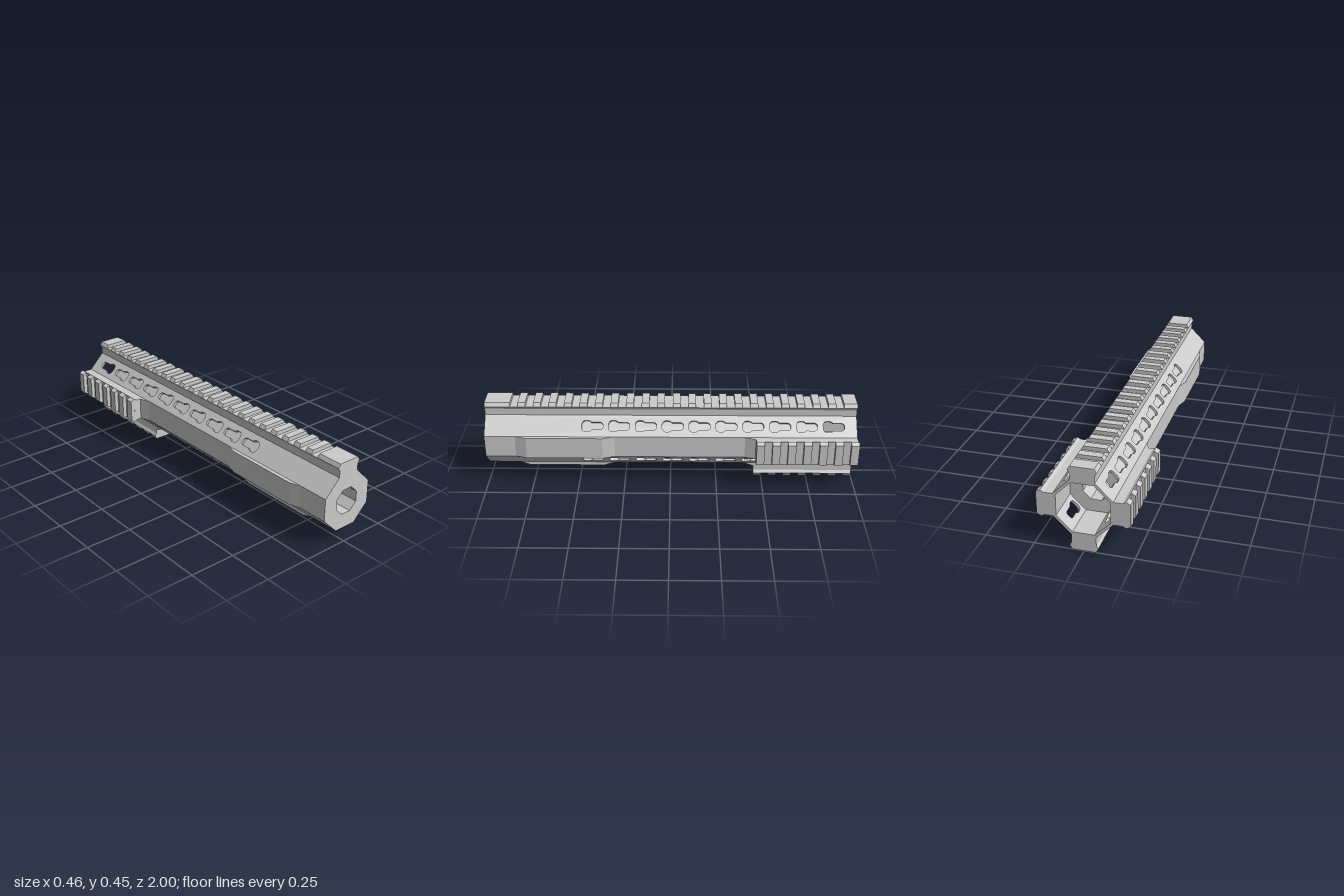
import * as THREE from 'three';

const R = 0.147;          // octagon body: centre to flat
const T = 0.014;          // shell wall thickness
const TAN = Math.tan(Math.PI / 8);
const HALF = R * TAN;     // half width of one flat
const CENTRE_Y = 0.23;

const material = new THREE.MeshStandardMaterial({ color: 0xcccccc, flatShading: true });

const points = (list) => list.map(([x, y]) => new THREE.Vector2(x, y));
const extrude = (shape, depth) => new THREE.ExtrudeGeometry(shape, { depth, bevelEnabled: false });

function add(parent, name, geometry) {
  const mesh = new THREE.Mesh(geometry, material);
  mesh.name = name;
  parent.add(mesh);
  return mesh;
}

// prism with an x-y section running from z0 to z1
function alongZ(section, z0, z1) {
  return extrude(new THREE.Shape(points(section)), z1 - z0).translate(0, 0, z0);
}

// prism with a z-y section running across x
function acrossX(section, width) {
  return extrude(new THREE.Shape(points(section)), width)
    .rotateY(-Math.PI / 2).translate(width / 2, 0, 0);
}

function octagon(r) {
  const h = r * TAN;
  return [[h, r], [-h, r], [-r, h], [-r, -h], [-h, -r], [h, -r], [r, -h], [r, h]];
}

// keyhole outline, wide end towards the front; y stands for -z
function keyhole(z) {
  const side = [[0.013, -0.057], [0.026, -0.05], [0.031, -0.04], [0.031, -0.02],
    [0.026, -0.01], [0.021, -0.004], [0.021, 0.043], [0.016, 0.053], [0.008, 0.057]];
  const mirrored = side.map(([x, y]) => [-x, y]).reverse();
  return new THREE.Path(points([...side, ...mirrored].map(([x, y]) => [x, y - z])));
}

// one mitred flat of the shell, in the upward position
function panel(slotted) {
  const shape = new THREE.Shape(points([[-HALF, -1], [HALF, -1], [HALF, 1], [-HALF, 1]]));
  if (slotted) for (let i = 0; i < 10; i++) shape.holes.push(keyhole(0.42 - 0.144 * i));
  const geometry = extrude(shape, T);
  const p = geometry.attributes.position;
  for (let i = 0; i < p.count; i++) {
    if (p.getZ(i) < T / 2 && Math.abs(p.getX(i)) > HALF - 0.001) {
      p.setX(i, Math.sign(p.getX(i)) * (R - T) * TAN);
    }
  }
  return geometry.rotateX(-Math.PI / 2).translate(0, R - T, 0);
}

// accessory rail, in the upward position; teeth are [z0, z1] spans
function rail(name, neck, wide, top, front, teeth) {
  const group = new THREE.Group();
  group.name = name;
  add(group, 'railBase', alongZ([
    [-HALF, R - 0.005], [HALF, R - 0.005], [HALF, neck], [0.071, wide], [-0.071, wide], [-HALF, neck],
  ], -1, front));
  for (const [z0, z1] of teeth) {
    add(group, 'railTooth', alongZ([[-0.071, wide], [0.071, wide], [0.059, top], [-0.059, top]], z0, z1));
  }
  return group;
}

export function createModel() {
  const model = new THREE.Group();
  model.name = 'railedHandguard';
  const body = new THREE.Group();
  body.name = 'body';
  body.position.y = CENTRE_Y;
  model.add(body);

  // inner core with an octagonal bore; the rear end stays hollow
  const coreShape = new THREE.Shape(points(octagon(R - T)));
  coreShape.holes.push(new THREE.Path(points(octagon(0.067))));
  add(body, 'core', extrude(coreShape, 1.8).translate(0, 0, -0.8));

  // eight shell panels, keyholes on the diagonals
  for (let i = 0; i < 8; i++) {
    const slotted = i % 2 === 1;
    add(body, slotted ? 'slottedPanel' : 'plainPanel', panel(slotted)).rotation.z = i * Math.PI / 4;
  }

  // full-length top rail with long end teeth
  const pitch = 0.0833, toothLength = 0.0425;
  const topTeeth = [[0.862, 1], [-1, -0.928]];
  for (let i = 0; i < 21; i++) {
    const z = 0.82 - i * (0.862 + 0.928 - toothLength) / 21;
    topTeeth.push([z - toothLength + 0.002, z]);
  }
  body.add(rail('topRail', 0.183, 0.2, 0.22, 1, topTeeth));

  // short rear rails, their lead-in ramps and the front grip swells
  const shortTeeth = [];
  for (let i = 0; i < 7; i++) shortTeeth.push([-1 + i * pitch, -1 + i * pitch + toothLength]);
  const low = R - 0.005, high = 0.167;
  for (const [side, angle] of [['left', -Math.PI / 2], ['bottom', Math.PI], ['right', Math.PI / 2]]) {
    const group = new THREE.Group();
    group.name = side + 'Side';
    group.rotation.z = angle;
    group.add(rail(side + 'Rail', 0.192, 0.208, 0.23, -0.457, shortTeeth));
    add(group, 'railRamp', acrossX([[-0.457, low], [-0.4, low], [-0.4, R], [-0.457, high]], 2 * HALF));
    add(group, 'gripSwell', acrossX([
      [0.3, low], [0.835, low], [0.835, R], [0.775, high], [0.365, high], [0.3, R],
    ], 2 * HALF));
    body.add(group);
  }
  return model;
}
